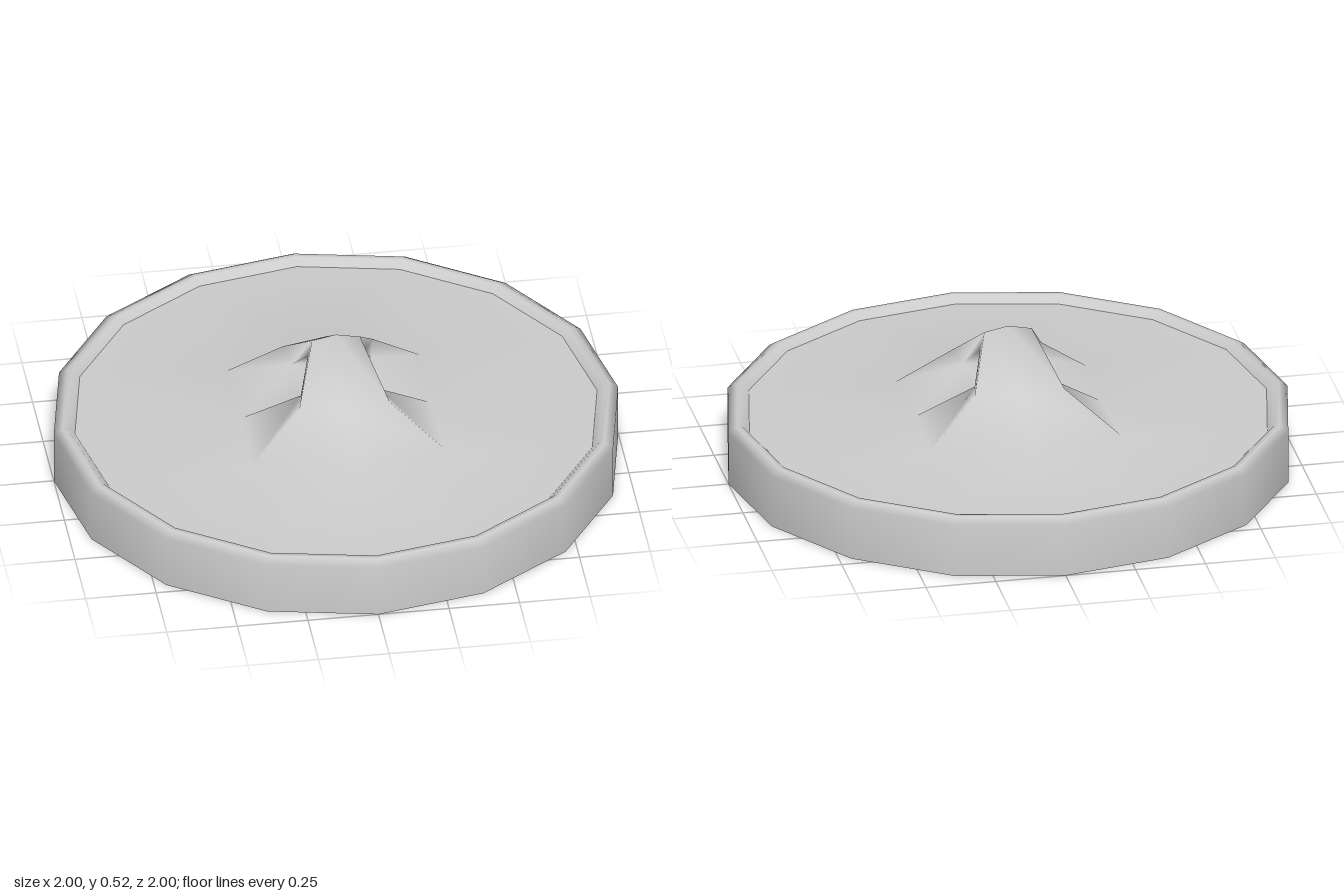
import * as THREE from 'three';
import { mergeVertices } from 'three/addons/utils/BufferGeometryUtils.js';

const SIDES = 16;
const RIM_R = 0.925, FLOOR_Y = 0.19;

// One quarter of the lid top and pinched handle; mirrored to the other three
function quarterFaces() {
  const ring = [0, 1, 2, 3, 4].map((j) => {
    const a = (j * Math.PI * 2) / SIDES;
    return [RIM_R * Math.sin(a), FLOOR_Y, RIM_R * Math.cos(a)];
  });
  const p = {
    apex: [0, 0.517, 0], apexSide: [0.085, 0.5, 0],
    shoulder: [0, 0.357, 0.23], shoulderSide: [0.16, 0.35, 0.2],
    foot: [0, 0.2, 0.41], footSide: [0.34, 0.2, 0.3],
    mouthTop: [0.1, 0.435, 0], mouthSide: [0.14, 0.34, 0.1],
    mouthFloor: [0.12, 0.22, 0], step: [0.33, 0.2, 0],
    holeTop: [0, 0.435, 0], holeSide: [0, 0.34, 0.1], holeFloor: [0, 0.22, 0],
  };
  return [
    // dished floor
    [p.foot, ring[0], ring[1]], [p.foot, ring[1], p.footSide],
    [p.footSide, ring[1], ring[2]], [p.footSide, ring[2], ring[3]],
    [p.footSide, ring[3], p.step], [p.step, ring[3], ring[4]],
    // outside of the handle
    [p.shoulder, p.foot, p.footSide, p.shoulderSide],
    [p.apex, p.shoulder, p.shoulderSide, p.apexSide],
    // mouth of the finger hole
    [p.apexSide, p.shoulderSide, p.mouthSide, p.mouthTop],
    [p.shoulderSide, p.footSide, p.mouthSide],
    [p.mouthSide, p.footSide, p.step], [p.mouthSide, p.step, p.mouthFloor],
    // inside of the finger hole
    [p.mouthTop, p.mouthSide, p.holeSide, p.holeTop],
    [p.mouthSide, p.mouthFloor, p.holeFloor, p.holeSide],
  ];
}

function topGeometry() {
  const positions = [];
  for (const sx of [1, -1]) for (const sz of [1, -1]) {
    for (const face of quarterFaces()) {
      const f = face.map(([x, y, z]) => [x * sx, y, z * sz]);
      if (sx * sz < 0) f.reverse();
      for (let i = 1; i < f.length - 1; i++) positions.push(...f[0], ...f[i], ...f[i + 1]);
    }
  }
  const geo = new THREE.BufferGeometry();
  geo.setAttribute('position', new THREE.Float32BufferAttribute(positions, 3));
  const merged = mergeVertices(geo, 1e-4);
  merged.computeVertexNormals();
  return merged;
}

export function createModel() {
  const group = new THREE.Group();
  group.name = 'lid';
  const material = new THREE.MeshStandardMaterial({ color: 0xcccccc });
  const add = (name, geometry) => {
    const mesh = new THREE.Mesh(geometry, material);
    mesh.name = name;
    group.add(mesh);
    return mesh;
  };

  // Outer wall and rounded lip
  const profile = [[1, 0], [1, 0.195], [0.97, 0.215], [0.95, 0.215], [RIM_R, FLOOR_Y]];
  add('rim', new THREE.LatheGeometry(profile.map(([r, y]) => new THREE.Vector2(r, y)), SIDES));

  // Dished top drawn up into the handle
  add('topAndHandle', topGeometry());

  // Flat underside
  add('underside', new THREE.CircleGeometry(1, SIDES)).rotation.x = Math.PI / 2;

  return group;
}
